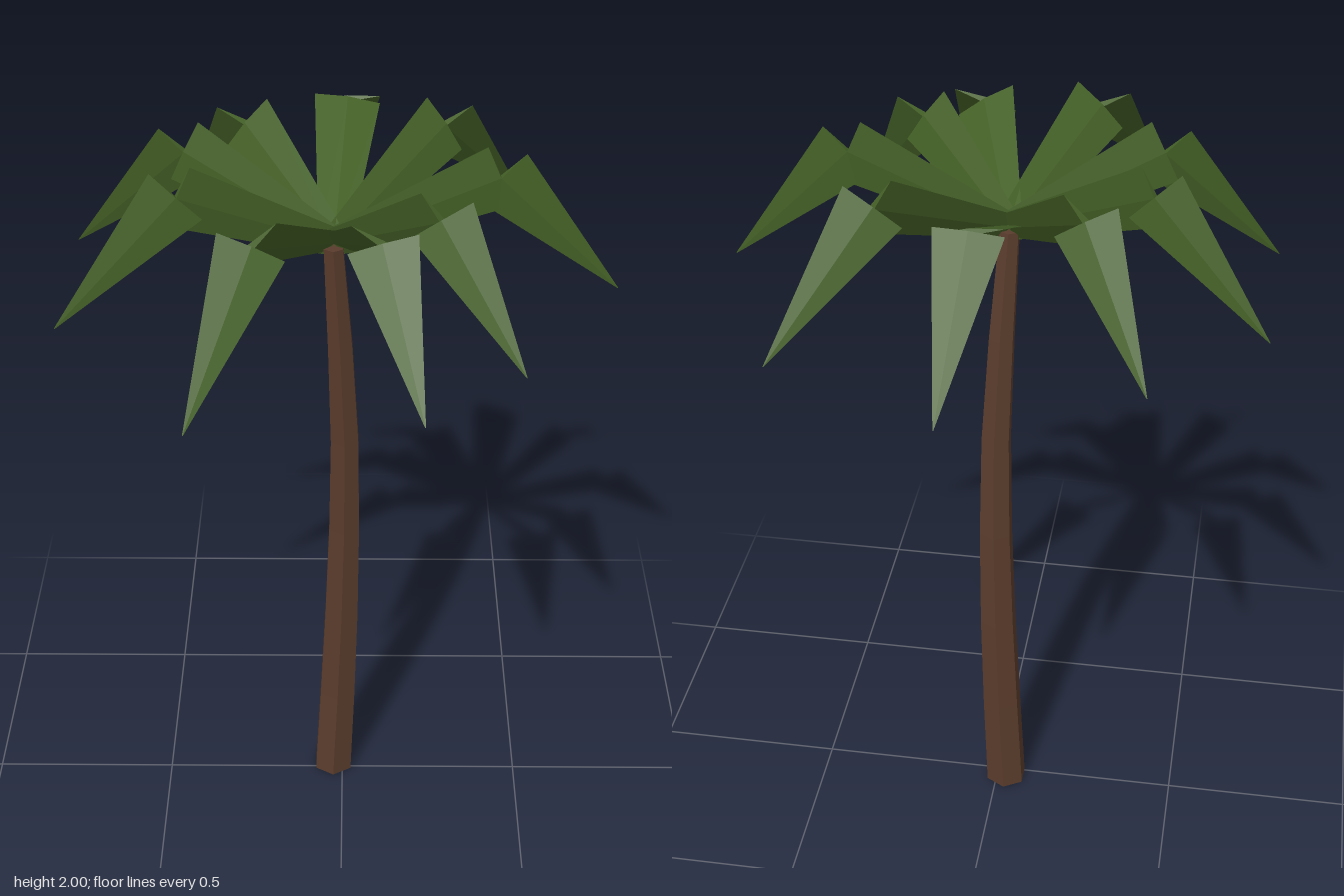
import * as THREE from 'three';

// Flat-shaded closed skin over a list of rings with equal point counts
function loft(rings) {
  const pos = [];
  const tri = (a, b, c) => pos.push(...a.toArray(), ...b.toArray(), ...c.toArray());
  const n = rings[0].length;
  for (let i = 0; i < rings.length - 1; i++) {
    const lo = rings[i], hi = rings[i + 1];
    for (let j = 0; j < n; j++) {
      const k = (j + 1) % n;
      tri(lo[j], hi[j], hi[k]);
      tri(lo[j], hi[k], lo[k]);
    }
  }
  const first = rings[0], last = rings[rings.length - 1];
  for (let j = 1; j < n - 1; j++) {
    tri(first[0], first[j], first[j + 1]);
    tri(last[0], last[j + 1], last[j]);
  }
  const geo = new THREE.BufferGeometry();
  geo.setAttribute('position', new THREE.Float32BufferAttribute(pos, 3));
  geo.computeVertexNormals();
  return geo;
}

// Thin tapering blade whose width lies in the x-y plane, square to its direction
function bladeGeometry(from, to, halfFrom, halfTo) {
  const dir = to.clone().sub(from);
  const side = new THREE.Vector3(-dir.y, dir.x, 0).normalize();
  const normal = side.clone().cross(dir).normalize();
  const diamond = (c, w) => [[side, -w], [normal, w * 0.1], [side, w], [normal, -w * 0.1]]
    .map(([axis, d]) => c.clone().addScaledVector(axis, d));
  return loft([diamond(from, halfFrom), diamond(to, halfTo)]);
}

export function createModel() {
  const group = new THREE.Group();
  const bark = new THREE.MeshStandardMaterial({ color: 0x5a3c2c, flatShading: true });
  bark.name = 'bark brown';
  const leaf = new THREE.MeshStandardMaterial({ color: 0x446026, flatShading: true, side: THREE.DoubleSide });
  leaf.name = 'leaf green';

  const addMesh = (parent, name, geometry, material) => {
    const mesh = new THREE.Mesh(geometry, material);
    mesh.name = name;
    parent.add(mesh);
  };

  // Curved, tapering six-sided trunk: centre x, centre z, radius per ring
  const trunkRings = [
    [-0.026, -0.021, 0.058], [-0.013, -0.020, 0.055], [-0.002, -0.017, 0.051],
    [0.005, -0.011, 0.046], [0.006, 0.003, 0.041], [-0.005, 0.024, 0.035], [-0.021, 0.045, 0.027],
  ].map(([x, z, r], i) => Array.from({ length: 6 }, (_, j) => {
    const a = Math.PI / 6 + j * Math.PI / 3;
    return new THREE.Vector3(x + r * Math.cos(a), i * 0.29, z + r * Math.sin(a));
  }));
  addMesh(group, 'trunk', loft(trunkRings), bark);

  // Crown of nine fronds, each a rising and a drooping blade: joint x, y, z, then tip x, z
  const crown = new THREE.Group();
  crown.name = 'crown';
  const root = new THREE.Vector3(-0.02, 1.75, 0.04);
  [
    [0.010, 1.94, -0.365, 0.035, -0.69],
    [0.250, 1.925, -0.25, 0.465, -0.49],
    [0.372, 1.923, 0.04, 0.67, 0.035],
    [0.225, 1.925, 0.265, 0.42, 0.45],
    [0.092, 1.925, 0.38, 0.185, 0.655],
    [-0.198, 1.925, 0.395, -0.34, 0.69],
    [-0.382, 1.923, 0.15, -0.675, 0.24],
    [-0.380, 1.923, -0.095, -0.67, -0.205],
    [-0.238, 1.925, -0.25, -0.41, -0.49],
  ].forEach(([jx, jy, jz, tx, tz], i) => {
    const frond = new THREE.Group();
    frond.name = `frond${i + 1}`;
    const joint = new THREE.Vector3(jx, jy, jz);
    const tip = new THREE.Vector3(tx, 1.625, tz);
    addMesh(frond, 'innerBlade', bladeGeometry(root, joint, 0.038, 0.0825), leaf);
    addMesh(frond, 'outerBlade', bladeGeometry(joint, tip, 0.0825, 0.001), leaf);
    crown.add(frond);
  });
  group.add(crown);
  return group;
}
